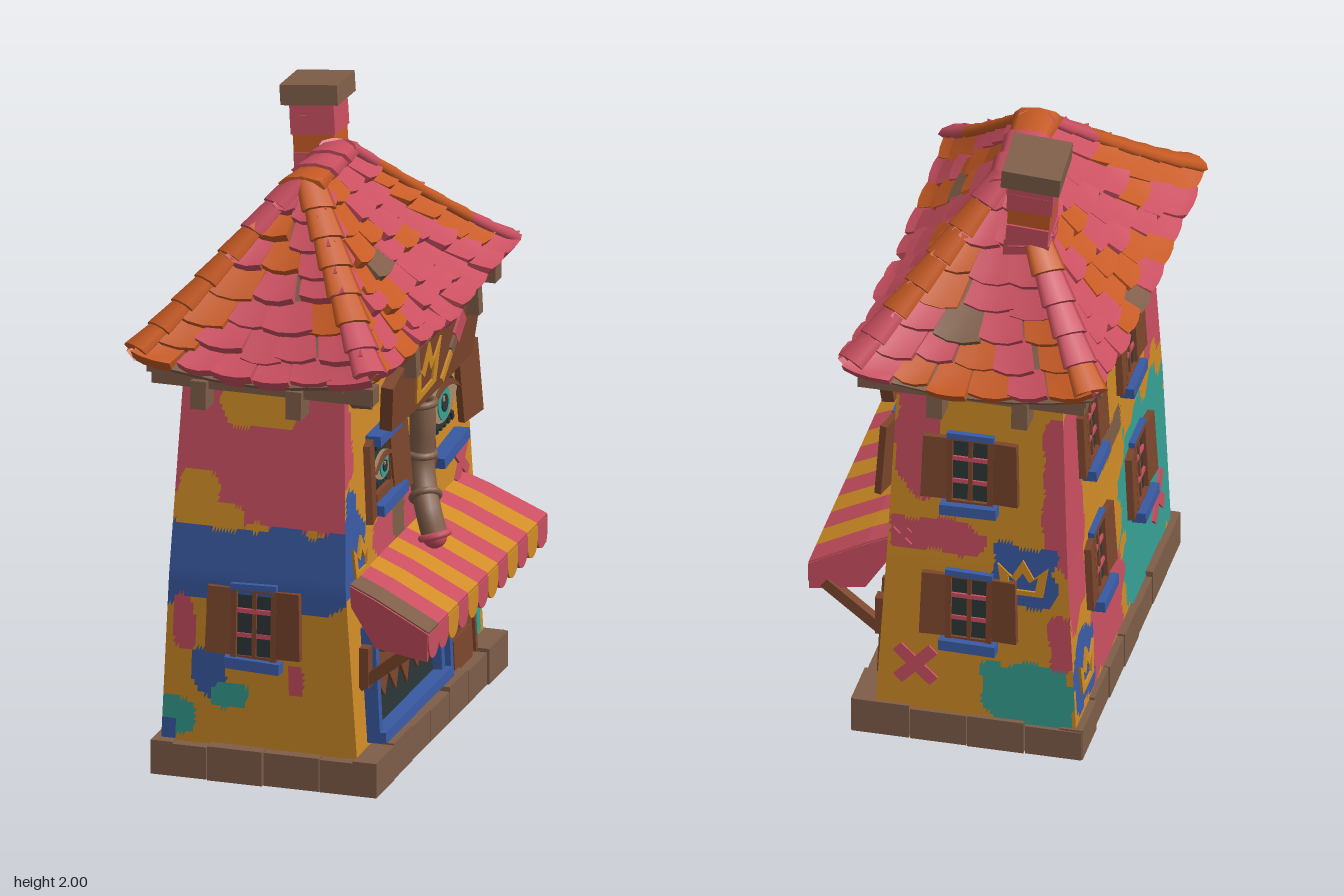
import * as THREE from 'three';
import { mergeGeometries } from 'three/addons/utils/BufferGeometryUtils.js';

const COLORS = {
  pink: 0xc94f60, orange: 0xc65a24, yellow: 0xd08c26, blue: 0x3a5ba5, teal: 0x359f92,
  wood: 0x7c462c, stone: 0x7f5e49, dark: 0x2c3637, tan: 0xa68a6c,
};
const NAMES = Object.keys(COLORS);
const lerp = THREE.MathUtils.lerp;

export function createModel() {
  const root = new THREE.Group();
  root.name = 'paintedShopHouse';
  const M = {};
  for (const n of NAMES) { M[n] = new THREE.MeshStandardMaterial({ color: COLORS[n] }); M[n].name = n; }
  let seed = 7;
  const rnd = () => (seed = (seed * 16807) % 2147483647) / 2147483647;
  const jit = a => (rnd() - 0.5) * 2 * a;

  const add = (parent, name, geo, mat, x = 0, y = 0, z = 0, rz = 0, ry = 0) => {
    const m = new THREE.Mesh(geo, M[mat]);
    m.name = name; m.position.set(x, y, z); m.rotation.set(0, ry, rz);
    parent.add(m);
    return m;
  };
  const box = (w, h, d) => new THREE.BoxGeometry(w, h, d);
  const poly = pts => new THREE.Shape(pts.map(p => new THREE.Vector2(p[0], p[1])));
  const plate = (shape, depth = 0.008) => new THREE.ExtrudeGeometry(shape, { depth, bevelEnabled: false, curveSegments: 12 });

  // Wall extents by height, in the order +z, +x, -z, -x
  const LEVELS = [0.08, 0.65, 1.32];
  const EXT = [[0.63, 0.64, 0.565], [0.25, 0.215, 0.185], [0.61, 0.6, 0.57], [0.39, 0.36, 0.335]];
  const ext = (i, y) => {
    const e = EXT[(i + 4) % 4], k = y < LEVELS[1] ? 0 : 1;
    return lerp(e[k], e[k + 1], (y - LEVELS[k]) / (LEVELS[k + 1] - LEVELS[k]));
  };

  // Paint patches per wall: colour, centre across, height, half width, half height
  const PAINT = [
    [['pink', 0, 1.09, 0.7, 0.28], ['blue', -0.08, 0.7, 0.6, 0.13], ['yellow', -0.07, 1.21, 0.13, 0.07], ['yellow', -0.28, 0.9, 0.07, 0.09],
      ['yellow', -0.19, 0.85, 0.07, 0.04], ['blue', -0.23, 0.34, 0.06, 0.08], ['teal', -0.35, 0.19, 0.07, 0.06], ['teal', -0.16, 0.27, 0.06, 0.04],
      ['pink', -0.31, 0.5, 0.035, 0.09], ['pink', 0.05, 0.34, 0.025, 0.05], ['blue', -0.37, 0.12, 0.03, 0.06]],
    [['pink', -0.12, 0.69, 0.24, 0.11], ['stone', -0.11, 0.74, 0.06, 0.08], ['blue', -0.56, 0.75, 0.13, 0.13], ['blue', -0.55, 0.88, 0.05, 0.08],
      ['pink', -0.57, 1.12, 0.05, 0.14], ['pink', 0.13, 0.28, 0.06, 0.3], ['pink', -0.1, 0.12, 0.2, 0.04], ['teal', 0.53, 0.16, 0.07, 0.05], ['pink', 0.42, 0.78, 0.05, 0.04]],
    [['pink', -0.12, 1.1, 0.07, 0.22], ['pink', 0.33, 0.95, 0.05, 0.3], ['pink', -0.05, 0.74, 0.15, 0.06], ['blue', 0.22, 0.63, 0.11, 0.11],
      ['teal', 0.24, 0.2, 0.15, 0.12], ['pink', 0.34, 0.4, 0.04, 0.1]],
    [['pink', -0.5, 0.85, 0.12, 0.42], ['pink', 0.54, 1.05, 0.12, 0.28], ['stone', -0.05, 0.8, 0.16, 0.05], ['pink', -0.02, 1.2, 0.08, 0.1],
      ['teal', 0.38, 0.38, 0.33, 0.34], ['pink', -0.2, 0.24, 0.24, 0.14], ['blue', -0.47, 0.25, 0.12, 0.13]],
  ];
  const paintAt = (i, h, y) => {
    let c = 'yellow';
    const wob = 0.22 * Math.sin(h * 37 + y * 21 + i) + 0.2 * Math.sin(y * 45 - h * 29);
    for (const [n, ch, cy, rw, rh] of PAINT[i]) if (((h - ch) / rw) ** 4 + ((y - cy) / rh) ** 4 + wob * 1.4 < 1) c = n;
    return c;
  };
  const faces = [0, 1, 2, 3].map(i => {
    const g = new THREE.Group();
    g.name = ['frontWall', 'shopWall', 'backWall', 'plainWall'][i];
    g.rotation.y = i * Math.PI / 2;
    root.add(g);
    const geo = new THREE.PlaneGeometry(1, 1, 56, 64), p = geo.attributes.position;
    for (let k = 0; k < p.count; k++) {
      const y = lerp(0.08, 1.32, p.getY(k) + 0.5);
      p.setXYZ(k, lerp(-ext(i - 1, y), ext(i + 1, y), p.getX(k) + 0.5), y, ext(i, y));
    }
    geo.computeVertexNormals();
    const byColor = NAMES.map(() => []), ix = geo.index.array;
    for (let k = 0; k < ix.length; k += 3) {
      const t = [ix[k], ix[k + 1], ix[k + 2]];
      const mid = f => t.reduce((s, v) => s + f(v), 0) / 3;
      byColor[NAMES.indexOf(paintAt(i, mid(v => p.getX(v)), mid(v => p.getY(v))))].push(...t);
    }
    geo.setIndex(byColor.flat());
    let start = 0;
    byColor.forEach((l, m) => { if (l.length) geo.addGroup(start, l.length, m); start += l.length; });
    const wall = new THREE.Mesh(geo, NAMES.map(n => M[n]));
    wall.name = 'plaster';
    g.add(wall);
    return g;
  });
  // Place a part on a wall: across, height, distance out
  const on = (i, name, geo, mat, h, y, d, rz = 0, ry = 0) => {
    const m = add(faces[i], name, geo, mat, h, y, ext(i, y) + d, rz, ry);
    m.rotation.x = -0.05;
    return m;
  };

  // Painted crowns and crosses
  const crown = s => {
    const pts = [[-0.5, -0.45], [0.5, -0.45], [0.62, 0.35], [0.27, 0.02], [0, 0.5], [-0.27, 0.02], [-0.62, 0.35]];
    const sh = poly(pts.map(p => [p[0] * s, p[1] * s]));
    sh.holes.push(poly(pts.map(p => [p[0] * s * 0.6, (p[1] * 0.5 - 0.1) * s])));
    return plate(sh);
  };
  [[1, -0.5, 0.73, 0.13], [2, 0.22, 0.63, 0.13], [3, -0.47, 0.25, 0.14]]
    .forEach(([i, h, y, s]) => on(i, 'paintedCrown', crown(s), 'yellow', h, y, 0.004));
  [[1, 0.48, 0.71, 0.15], [2, -0.12, 0.27, 0.16], [2, -0.17, 0.72, 0.08], [3, 0.47, 0.29, 0.17]].forEach(([i, h, y, s]) =>
    [0.8, -0.75].forEach(a => on(i, 'paintedCross', box(s, s * 0.24, 0.008), 'pink', h, y, 0.006, a)));

  // Shuttered windows
  const shutter = (i, h, y, w, ht, rz, ry, d) => on(i, 'shutter', box(w, ht, 0.022), 'wood', h, y, d, rz, ry);
  const windowAt = (i, h, y) => {
    const w = 0.13, ht = 0.23;
    on(i, 'windowPane', box(w, ht, 0.02), 'dark', h, y, -0.004);
    [-1, 1].forEach(s => {
      on(i, 'windowFrame', box(0.018, ht, 0.04), 'wood', h + s * w / 2, y, 0);
      on(i, 'windowFrame', box(w, 0.018, 0.04), 'wood', h, y + s * ht / 2, 0);
      shutter(i, h + s * 0.11, y + 0.005, 0.085, 0.215, s * 0.03, -s * 0.1, 0.012);
    });
    on(i, 'glazingBar', box(0.014, ht, 0.01), 'wood', h, y, 0.008);
    [-0.04, 0.04].forEach(o => on(i, 'glazingBar', box(w, 0.014, 0.01), 'pink', h, y + o, 0.008));
    on(i, 'windowSill', box(0.18, 0.035, 0.06), 'blue', h, y - 0.13, 0.015, jit(0.04));
    on(i, 'windowLintel', box(0.15, 0.02, 0.04), 'blue', h, y + 0.12, 0, jit(0.04));
  };
  [[0, -0.08, 0.52], [2, 0.05, 0.5], [2, 0.05, 0.99], [3, -0.26, 0.52], [3, 0.27, 0.52], [3, -0.28, 1.01], [3, 0.21, 1.01]]
    .forEach(a => windowAt(...a));

  // Eye windows on the shop wall
  const eye = (h, y, w, ht) => {
    const almond = (a, b) => {
      const s = new THREE.Shape();
      s.moveTo(-a, 0); s.quadraticCurveTo(0, b * 2, a, 0); s.quadraticCurveTo(0, -b * 2, -a, 0);
      return s;
    };
    on(1, 'eyeRim', plate(almond(w * 1.15, ht * 1.25)), 'dark', h, y, 0.004);
    on(1, 'eyeWhite', plate(almond(w, ht)), 'tan', h, y, 0.01);
    const lid = new THREE.Shape();
    lid.moveTo(-w, 0); lid.quadraticCurveTo(0, ht * 2, w, 0); lid.quadraticCurveTo(0, ht * 1.3, -w, 0);
    on(1, 'upperLid', plate(lid), 'wood', h, y, 0.024);
    [['iris', 0.82, 'teal', 0.014], ['pupil', 0.42, 'dark', 0.018]].forEach(([n, r, c, d]) =>
      on(1, n, plate(new THREE.Shape().absarc(0, 0, ht * r, 0, Math.PI * 2)), c, h, y - ht * 0.08, d));
    on(1, 'eyeGlint', box(ht * 0.22, ht * 0.22, 0.004), 'tan', h - ht * 0.25, y + ht * 0.2, 0.027);
    for (let k = -3; k <= 3; k++) {
      on(1, 'eyelash', box(0.012, 0.045, 0.008), 'dark', h + k * w * 0.27, y + ht * (1.25 - Math.abs(k) * 0.15) + 0.015, 0.006, -k * 0.15);
      on(1, 'lowerLash', box(0.018, 0.025, 0.008), 'dark', h + k * w * 0.27, y - ht * 1.25, 0.006, k * 0.1);
    }
  };
  [-0.385, -0.225].forEach(h => on(1, 'eyeWindowFrame', box(0.016, 0.2, 0.03), 'wood', h, 0.955, 0.008));
  on(1, 'eyeWindowFrame', box(0.2, 0.025, 0.03), 'wood', -0.28, 0.875, 0.012);
  eye(-0.285, 0.955, 0.1, 0.045);
  eye(0.3, 0.965, 0.14, 0.068);
  [[-0.45, 0.955, 0.1, 0.25, -0.06, 0.2], [-0.175, 0.955, 0.11, 0.24, 0.06, -0.2], [0.125, 0.89, 0.11, 0.18, 0.16, 0.2], [0.51, 0.965, 0.12, 0.24, 0.06, -0.2]]
    .forEach(a => shutter(1, ...a, 0.03));
  [[-0.28, 0.845, 0.24, 0.03], [-0.3, 1.07, 0.21, 0], [0.31, 0.81, 0.25, 0.08]]
    .forEach(([h, y, w, r]) => on(1, 'eyeSill', box(w, 0.034, 0.05), 'blue', h, y, 0.03, r));
  on(1, 'eyeBrowBar', box(0.24, 0.02, 0.04), 'blue', 0.32, 1.065, 0.02, -0.04);

  // Sign board with crown and brush, leaning out under the eave
  const sign = new THREE.Group();
  sign.name = 'sign';
  sign.position.set(0, 1.2, 0.245);
  sign.rotation.x = 0.1;
  faces[1].add(sign);
  const board = poly([[-0.4, 0.05], [-0.37, -0.1], [0.0, -0.115], [0.42, -0.11], [0.45, 0.04], [0.22, 0.11], [-0.05, 0.135], [-0.27, 0.1]]);
  add(sign, 'signBoard', plate(board, 0.04), 'wood');
  add(sign, 'signCrown', crown(0.185), 'yellow', -0.06, 0.005, 0.038, 0.08);
  [['brushHandle', 0.1, 0.028, 'yellow', 0.14, -0.055], ['brushFerrule', 0.045, 0.045, 'stone', 0.19, 0], ['brushTip', 0.085, 0.075, 'pink', 0.24, 0.045]]
    .forEach(([n, w, h, c, x, y]) => add(sign, n, box(w, h, 0.008), c, x, y, 0.044, 0.8));

  // Bent drainpipe
  const pipePts = [[0.255, 1.085, -0.02], [0.26, 1.0, 0.02], [0.255, 0.88, 0.02], [0.275, 0.8, 0.05], [0.305, 0.74, 0.095], [0.33, 0.67, 0.11]];
  const curve = new THREE.CatmullRomCurve3(pipePts.map((p, k) => new THREE.Vector3(p[0], p[1], k ? p[2] : 0.02)));
  add(root, 'drainpipe', new THREE.TubeGeometry(curve, 28, 0.042, 12), 'stone');
  [[0.03, 'stone'], [0.4, 'stone'], [0.7, 'stone'], [0.99, 'pink']].forEach(([t, c]) => {
    const ring = add(root, 'pipeCollar', new THREE.TorusGeometry(0.042, 0.012, 8, 16), c);
    const p = curve.getPointAt(t);
    ring.position.copy(p); ring.lookAt(p.clone().add(curve.getTangentAt(t)));
  });
  add(root, 'pipeMouth', new THREE.SphereGeometry(0.041, 12, 8), 'pink', 0.328, 0.675, 0.11);

  // Shop window with toothy grin
  on(1, 'shopGlass', box(0.6, 0.36, 0.02), 'dark', -0.2, 0.33, 0.005);
  const grin = new THREE.Shape();
  grin.moveTo(-0.265, 0.05); grin.quadraticCurveTo(0, -0.08, 0.265, 0.06); grin.lineTo(0.25, 0.005);
  for (let k = 4; k >= -4; k -= 2) {
    const x = k * 0.053, y = 0.0004 * k * k - 0.07;
    grin.lineTo(x + 0.048, y + 0.005); grin.lineTo(x + 0.01, y - 0.075 + Math.abs(k) * 0.005); grin.lineTo(x - 0.045, y + 0.005);
  }
  on(1, 'toothyGrin', plate(grin), 'wood', -0.2, 0.36, 0.018);
  [-0.51, 0.1].forEach(h => on(1, 'shopFrameSide', box(0.03, 0.36, 0.05), 'blue', h, 0.32, 0.02));
  on(1, 'shopSill', box(0.65, 0.035, 0.075), 'blue', -0.2, 0.145, 0.025);
  on(1, 'shopFrameTop', box(0.62, 0.03, 0.05), 'blue', -0.2, 0.46, 0.02);
  on(1, 'bluePost', box(0.025, 0.42, 0.05), 'blue', 0.165, 0.25, 0.025);

  // Door
  on(1, 'door', box(0.25, 0.42, 0.035), 'wood', 0.31, 0.25, 0.01);
  [0.185, 0.44].forEach(h => on(1, 'doorJamb', box(0.018, 0.42, 0.05), 'wood', h, 0.25, 0.012));
  on(1, 'doorGlass', box(0.15, 0.16, 0.008), 'dark', 0.305, 0.345, 0.03);
  on(1, 'doorBar', box(0.018, 0.16, 0.012), 'wood', 0.305, 0.345, 0.034);
  on(1, 'doorBar', box(0.15, 0.018, 0.012), 'wood', 0.305, 0.345, 0.034);
  on(1, 'doorPanel', box(0.17, 0.14, 0.015), 'wood', 0.305, 0.14, 0.03);
  on(1, 'doorStep', box(0.28, 0.04, 0.07), 'wood', 0.31, 0.06, 0.03);

  // Striped awning with scalloped edge
  const N = 12, W = 1.1 / N;
  const flare = g => {
    const p = g.attributes.position;
    for (let k = 0; k < p.count; k++) p.setZ(k, 0.04 + p.getZ(k) * (1 + 0.055 * (p.getX(k) - 0.2) / 0.28));
    g.computeVertexNormals();
    return g;
  };
  const slope = poly([[0.19, 0.625], [0.455, 0.5], [0.475, 0.51], [0.478, 0.545], [0.3, 0.63], [0.2, 0.67]]);
  for (let k = 0; k < N; k++) {
    const z = -0.55 + k * W, c = k % 2 ? 'yellow' : 'pink', last = k === N - 1;
    add(root, 'awningStripe', flare(plate(slope, W).translate(0, 0, z)), last ? 'stone' : c);
    const tab = new THREE.Shape();
    tab.moveTo(-W / 2, 0.06); tab.lineTo(-W / 2, 0.02);
    tab.absarc(0, 0.02, W / 2, Math.PI, Math.PI * 2); tab.lineTo(W / 2, 0.06);
    add(root, 'awningScallop', flare(plate(tab, 0.025).rotateY(Math.PI / 2).translate(0.455, 0.475, z + W / 2)), last ? 'pink' : c);
  }
  [-0.555, 0.545].forEach(z => add(root, 'awningCheek',
    flare(plate(poly([[0.2, 0.665], [0.22, 0.59], [0.3, 0.47], [0.475, 0.45], [0.478, 0.54], [0.3, 0.625]]), 0.012).translate(0, 0, z)), 'pink'));
  [-0.53, 0.55].forEach(z => {
    add(root, 'awningBrace', box(0.035, 0.25, 0.035), 'wood', 0.33, 0.4, z, -0.9);
    add(root, 'bracePlate', box(0.03, 0.13, 0.04), 'wood', 0.25, 0.385, z);
  });

  // Stone footing
  add(root, 'footing', box(0.69, 0.1, 1.25), 'stone', -0.045, 0.05, 0.025);
  const stones = (n, from, to, place) => {
    for (let k = 0; k < n; k++) {
      const len = (to - from) / n;
      place(from + (k + 0.5) * len, len - 0.004, 0.108 + jit(0.01));
    }
  };
  [-0.375, 0.285].forEach(x => stones(7, -0.62, 0.67, (z, l, h) => add(root, 'footingStone', box(0.07 + jit(0.01), h, l), 'stone', x, h / 2, z)));
  [-0.59, 0.635].forEach(z => stones(4, -0.41, 0.32, (x, l, h) => add(root, 'footingStone', box(l, h, 0.07 + jit(0.01)), 'stone', x, h / 2, z)));

  // Hipped roof surface: side, across, up, thickness
  const CORNERS = [[-0.46, 0.69, -0.1, 0.18], [0.315, 0.69, -0.05, 0.18], [0.315, -0.69, -0.05, -0.18], [-0.46, -0.69, -0.1, -0.18]];
  const hip = (i, t) => {
    const c = CORNERS[i % 4];
    return new THREE.Vector3(lerp(c[0], c[2], t), 1.315 + 0.475 * Math.max(t, 0) ** 1.1, lerp(c[1], c[3], t));
  };
  const roofPoint = (i, u, t, w) => {
    const p = hip(i, t).lerp(hip(i + 1, t), u), a = i * Math.PI / 2;
    p.y += 0.05 * (2 * u - 1) ** 2 * (1 - t);
    return p.add(new THREE.Vector3(Math.sin(a) * 0.65, 0.76, Math.cos(a) * 0.65).multiplyScalar(w));
  };
  const slab = (i, u0, u1, t0, t1, wLow, wHigh, seg) => {
    const g = new THREE.BoxGeometry(1, 1, 1, seg, 1, seg), p = g.attributes.position;
    for (let k = 0; k < p.count; k++) {
      const bx = p.getX(k), f = 0.5 - p.getZ(k);
      const round = seg === 3 ? 0.02 * (2 * bx) ** 4 * (1 - f) : 0;
      const q = roofPoint(i, lerp(u0, u1, bx + 0.5), lerp(t0, t1, f) + round, p.getY(k) > 0 ? lerp(wLow, wHigh, f) : -0.012);
      p.setXYZ(k, q.x, q.y, q.z);
    }
    g.computeVertexNormals();
    return g;
  };
  // Tile colour patches per side: colour, across, up, half widths
  const TILE_PAINT = [
    [['orange', 0.02, 0.3, 0.16, 0.5], ['orange', 1, 0.45, 0.15, 0.3], ['orange', 0.45, 0.72, 0.3, 0.1]],
    [['orange', 0.3, 0.65, 0.17, 0.3], ['orange', 0.28, 0.2, 0.1, 0.16], ['orange', 0.95, 0.5, 0.12, 0.4], ['orange', 0.02, 0.1, 0.06, 0.2],
      ['orange', 0.62, 0.5, 0.06, 0.12], ['stone', 0.34, 0.45, 0.06, 0.1]],
    [['orange', 0.52, 0.1, 0.13, 0.25], ['orange', 0.9, 0.1, 0.1, 0.25], ['orange', 0.2, 0.12, 0.08, 0.1], ['orange', 0.15, 0.55, 0.2, 0.15], ['stone', 0.32, 0.3, 0.08, 0.08]],
    [['orange', 0.42, 0.2, 0.09, 0.25], ['orange', 0.66, 0.1, 0.06, 0.2], ['orange', 0.3, 0.6, 0.1, 0.15], ['stone', 0.47, 0.05, 0.05, 0.08], ['orange', 0.95, 0.3, 0.08, 0.5]],
  ];
  const tiles = { pink: [], orange: [], stone: [] };
  const ROWS = 7;
  for (let i = 0; i < 4; i++) {
    add(root, 'roofDeck', slab(i, 0, 1, 0, 1, 0.004, 0.004, 6), 'stone');
    for (let r = 0; r < ROWS; r++) {
      const t = r / ROWS, n = Math.max(2, Math.round(hip(i, t).distanceTo(hip(i + 1, t)) / 0.135));
      for (let k = 0; k < n; k++) {
        let c = rnd() < 0.93 ? 'pink' : 'orange';
        for (const [name, u, v, ru, rv] of TILE_PAINT[i]) if (Math.hypot(((k + 0.5) / n - u) / ru, (t + 0.06 - v) / rv) < 1) c = name;
        tiles[c].push(slab(i, (k + jit(0.1)) / n, (k + 1 + jit(0.1)) / n, t - 0.02 + jit(0.03), Math.min(1, t + 0.17), 0.036 + jit(0.01), 0.008, 3));
      }
    }
  }
  for (const c in tiles) add(root, 'roofTiles', mergeGeometries(tiles[c]), c);

  // Flat hip and ridge caps
  const cap = (a, b, w, c) => {
    const m = add(root, 'ridgeTile', new THREE.CylinderGeometry(w * 0.42, w * 0.52, a.distanceTo(b) * 1.12, 8).rotateX(-Math.PI / 2).scale(1, 0.38, 1), c);
    m.position.copy(a).lerp(b, 0.5);
    m.lookAt(a);
  };
  const HIP_COLORS = ['OOOOOPP', 'PPOOOOO', 'PPOOOOP', 'OPPPOPP'];
  HIP_COLORS.forEach((row, i) => [...row].forEach((ch, r) => {
    const lift = t => { const p = hip(i, t); p.y += 0.022 + 0.05 * (1 - t); return p; };
    cap(lift(r / ROWS + 0.02), lift((r + 1) / ROWS), 0.11, ch === 'O' ? 'orange' : 'pink');
  }));
  ['pink', 'pink', 'orange'].forEach((c, k) => cap(new THREE.Vector3(-0.075, 1.805, -0.07 + k * 0.13), new THREE.Vector3(-0.075, 1.8, -0.2 + k * 0.13), 0.15, c));

  // Eaves, beams and brackets
  add(root, 'soffit', box(0.64, 0.03, 1.3), 'stone', -0.11, 1.325, 0);
  add(root, 'eaveBeam', box(0.05, 0.055, 1.24), 'stone', -0.39, 1.295, 0);
  [-0.6, 0.6].forEach(z => add(root, 'eaveBeam', box(0.72, 0.055, 0.06), 'stone', -0.06, 1.295, z));
  [[0, -0.26], [0, 0.05], [2, -0.05], [2, 0.22], [3, -0.4], [3, 0], [3, 0.4]]
    .forEach(([i, h]) => on(i, 'rafterTail', box(0.05, 0.09, 0.09), 'stone', h, 1.25, 0.04));
  [-0.28, 0.33].forEach(h => on(1, 'signBracket', box(0.04, 0.1, 0.13), 'stone', h, 1.3, 0.08));
  [[1, -0.54, 0.9], [1, 0.54, -0.9], [3, -0.5, 0.9], [3, 0.5, -0.9]]
    .forEach(([i, h, r]) => on(i, 'cornerBrace', box(0.045, 0.14, 0.07), 'stone', h, 1.27, 0.03, r));

  // Leaning brick chimney
  const chimney = new THREE.Group();
  chimney.name = 'chimney';
  chimney.position.set(-0.155, 1.58, -0.265);
  chimney.rotation.set(-0.09, 0.04, 0.09);
  root.add(chimney);
  for (let k = 0; k < 6; k++) {
    add(chimney, 'brickCourse', box(0.14 + jit(0.008), 0.062, 0.155 + jit(0.008)), k === 3 ? 'orange' : 'pink', 0, 0.03 + k * 0.06, 0);
  }
  add(chimney, 'chimneyCap', box(0.185, 0.065, 0.2), 'stone', 0, 0.37, 0);
  return root;
}
